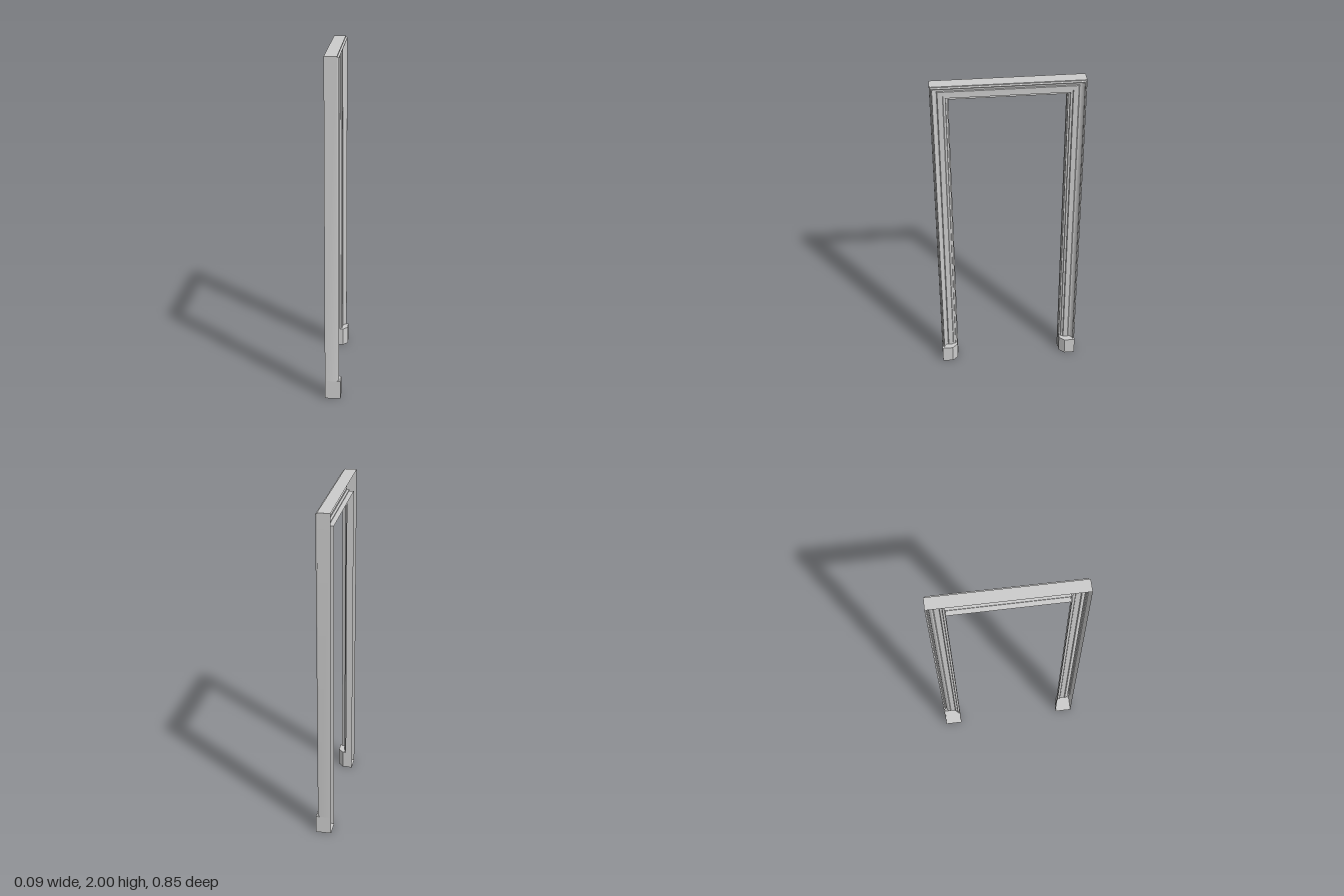
import * as THREE from 'three';
import { toCreasedNormals } from 'three/addons/utils/BufferGeometryUtils.js';

const HALF = 0.427;      // half of the overall width (z)
const TOP = 2;           // overall height
const PLINTH = 0.11;     // plinth block height
const BACK = -0.046;

const material = new THREE.MeshStandardMaterial({ color: 0xcccccc, side: THREE.DoubleSide });

// Moulding front: [distance in from the outer edge, x]
function mouldingFront() {
  const pts = [[0, 0.025], [0.005, 0.025], [0.009, 0.035], [0.013, 0.035]];
  // hollow cove falling towards the flat band
  for (let i = 1; i <= 6; i++) {
    const a = (i / 6) * Math.PI / 2;
    pts.push([0.013 + 0.025 * (1 - Math.cos(a)), 0.035 - 0.028 * Math.sin(a)]);
  }
  pts.push([0.042, 0.011], [0.07, 0.009], [0.073, 0.003], [0.085, 0.003],
    [0.087, -0.004], [0.097, -0.004], [0.097, -0.018], [0.102, -0.018]);
  return pts;
}

// Plinth front: flat face with a chamfer towards the opening
const plinthFront = [[0, 0.046], [0.064, 0.046], [0.098, 0.015], [0.098, -0.018], [0.102, -0.018]];

// Adds the side walls that run to the open back
const withWalls = (front) => [[0, BACK], ...front, [0.102, BACK]];

// Sweeps a profile through stations, each mapping the inset u to [z, y]
function sweep(profile, stations) {
  const pos = [];
  const put = (p, s) => { const [z, y] = s(p[0]); pos.push(p[1], y, z); };
  for (let j = 0; j < stations.length - 1; j++) {
    for (let i = 0; i < profile.length - 1; i++) {
      const a = profile[i], b = profile[i + 1], s = stations[j], t = stations[j + 1];
      put(a, s); put(b, s); put(b, t);
      put(a, s); put(b, t); put(a, t);
    }
  }
  const g = new THREE.BufferGeometry();
  g.setAttribute('position', new THREE.Float32BufferAttribute(pos, 3));
  return toCreasedNormals(g, 0.5);
}

// Horizontal cap over a profile outline
function cap(outline, side, y, up) {
  const f = up ? -1 : 1;
  const shape = new THREE.Shape(outline.map(([u, x]) => new THREE.Vector2(x, f * side * (HALF - u))));
  return new THREE.ShapeGeometry(shape).rotateX(f * Math.PI / 2).translate(0, y, 0);
}

export function createModel() {
  const group = new THREE.Group();
  const add = (parent, name, geometry) => {
    const mesh = new THREE.Mesh(geometry, material);
    mesh.name = name;
    parent.add(mesh);
  };

  // Mitred casing: up one jamb, across the head, down the other
  const front = mouldingFront();
  add(group, 'casing', sweep(withWalls(front), [
    (u) => [HALF - u, PLINTH],
    (u) => [HALF - u, TOP - u],
    (u) => [u - HALF, TOP - u],
    (u) => [u - HALF, PLINTH],
  ]));

  // Hollow plinth blocks with a floor and a ledge in front of the casing
  for (const side of [1, -1]) {
    const plinth = new THREE.Group();
    plinth.name = side > 0 ? 'frontPlinth' : 'backPlinth';
    const low = (u) => [side * (HALF - u), 0];
    const high = (u) => [side * (HALF - u), PLINTH];
    const profile = withWalls(plinthFront);
    add(plinth, 'plinthWalls', sweep(profile, side > 0 ? [low, high] : [high, low]));
    add(plinth, 'plinthFloor', cap(profile, side, 0, false));
    const ledge = [...plinthFront.slice(0, 3), ...front.slice(0, -2).reverse()];
    add(plinth, 'plinthLedge', cap(ledge, side, PLINTH, true));
    group.add(plinth);
  }
  return group;
}
